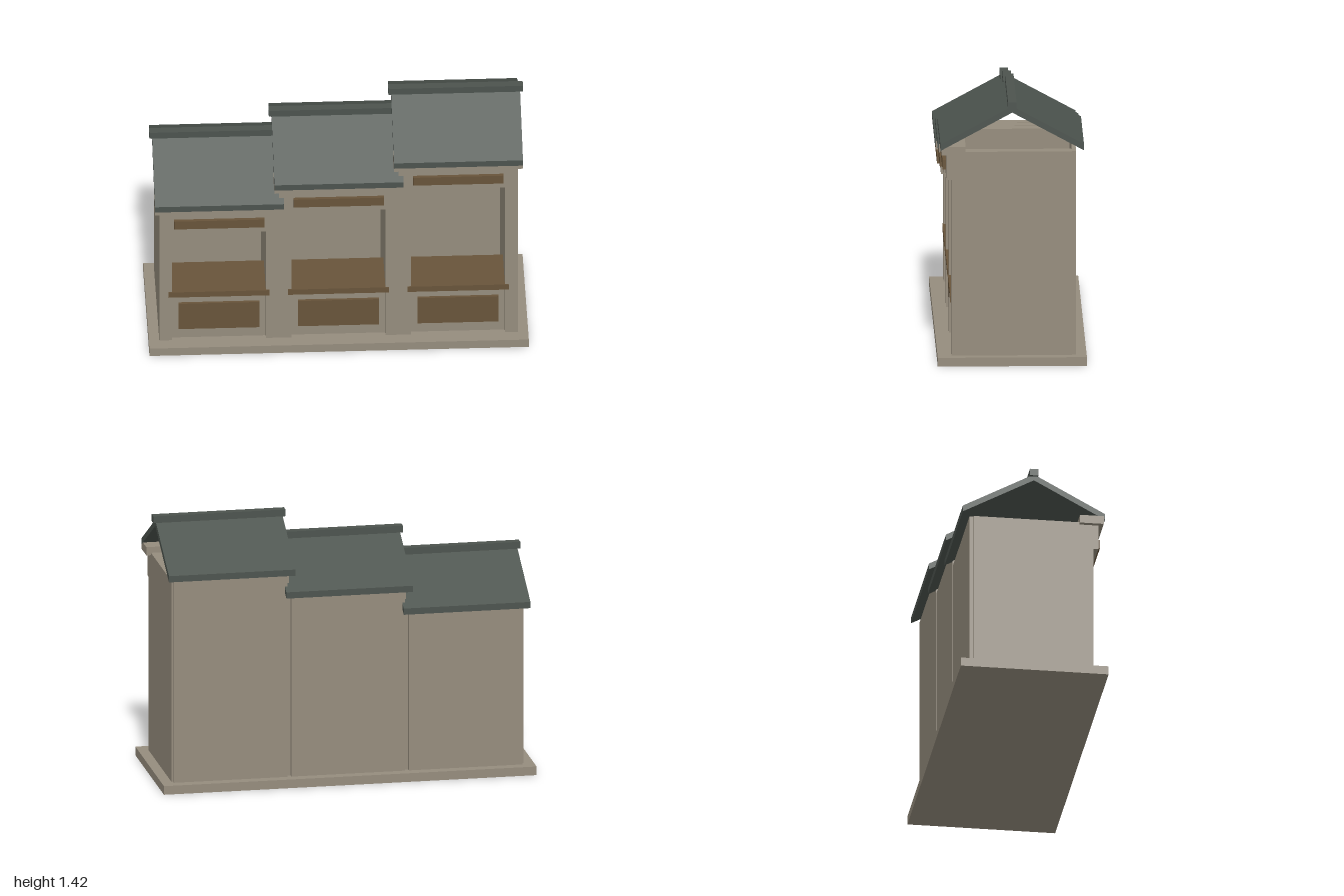
import * as THREE from 'three';

export function createModel() {
  const stone = new THREE.MeshStandardMaterial({ name: 'stone', color: 0x958c7d });
  const slate = new THREE.MeshStandardMaterial({ name: 'slate', color: 0x4c534e });
  const wood = new THREE.MeshStandardMaterial({ name: 'wood', color: 0x68543a });
  const model = new THREE.Group();
  model.name = 'steppedStalls';

  // Box given by its extents on each axis
  function box(parent, name, mat, [x0, x1], [y0, y1], [z0, z1]) {
    const mesh = new THREE.Mesh(new THREE.BoxGeometry(x1 - x0, y1 - y0, z1 - z0), mat);
    mesh.position.set((x0 + x1) / 2, (y0 + y1) / 2, (z0 + z1) / 2);
    mesh.name = name;
    parent.add(mesh);
  }

  // Gable roof: a chevron with plumb-cut eaves, swept along x
  function roof(parent, eave, apex, halfWidth) {
    const z = 0.378, drop = 0.034;
    const shape = new THREE.Shape([
      [-z, eave], [-z, eave - drop], [0, apex - drop], [z, eave - drop], [z, eave], [0, apex],
    ].map(([a, b]) => new THREE.Vector2(a, b)));
    const geo = new THREE.ExtrudeGeometry(shape, { depth: 2 * halfWidth, bevelEnabled: false });
    geo.translate(0, 0, -halfWidth).rotateY(Math.PI / 2);
    const mesh = new THREE.Mesh(geo, slate);
    mesh.name = 'roof';
    parent.add(mesh);
  }

  const floor = 0.047;
  box(model, 'plinth', stone, [-1, 1], [0, floor], [-0.393, 0.393]);

  // Three identical bays, each taller than the last
  for (let i = 0; i < 3; i++) {
    const bay = new THREE.Group();
    bay.name = 'bay' + (i + 1);
    bay.position.x = (i - 1) * 0.63;
    model.add(bay);
    const top = 0.9 + i * 0.1225;

    // Walls, open at the front and top
    for (const s of [-1, 1]) {
      const xs = [s * 0.247, s * 0.315].sort((a, b) => a - b);
      box(bay, 'sideWall', stone, xs, [floor, top], [-0.316, 0.32]);
    }
    box(bay, 'backWall', stone, [-0.305, 0.305], [floor, top], [-0.338, -0.316]);

    // Counter
    box(bay, 'counterBody', stone, [-0.247, 0.247], [floor, 0.324], [0.07, 0.295]);
    box(bay, 'counterPanel', wood, [-0.213, 0.213], [0.11, 0.272], [0.295, 0.31]);
    box(bay, 'counterTop', wood, [-0.267, 0.267], [0.324, 0.357], [0.05, 0.325]);

    // Frieze with sign board, and cornice above
    box(bay, 'frieze', stone, [-0.315, 0.315], [top - 0.15, top - 0.01], [0.29, 0.346]);
    box(bay, 'signBoard', wood, [-0.238, 0.238], [top - 0.11, top - 0.06], [0.346, 0.365]);
    box(bay, 'cornice', stone, [-0.34, 0.34], [top - 0.013, top + 0.032], [0.245, 0.372]);

    // Roof and ridge
    roof(bay, top + 0.045, top + 0.25, 0.34);
    box(bay, 'ridgeCap', slate, [-0.355, 0.355], [top + 0.238, top + 0.275], [-0.0225, 0.0225]);
  }
  return model;
}
